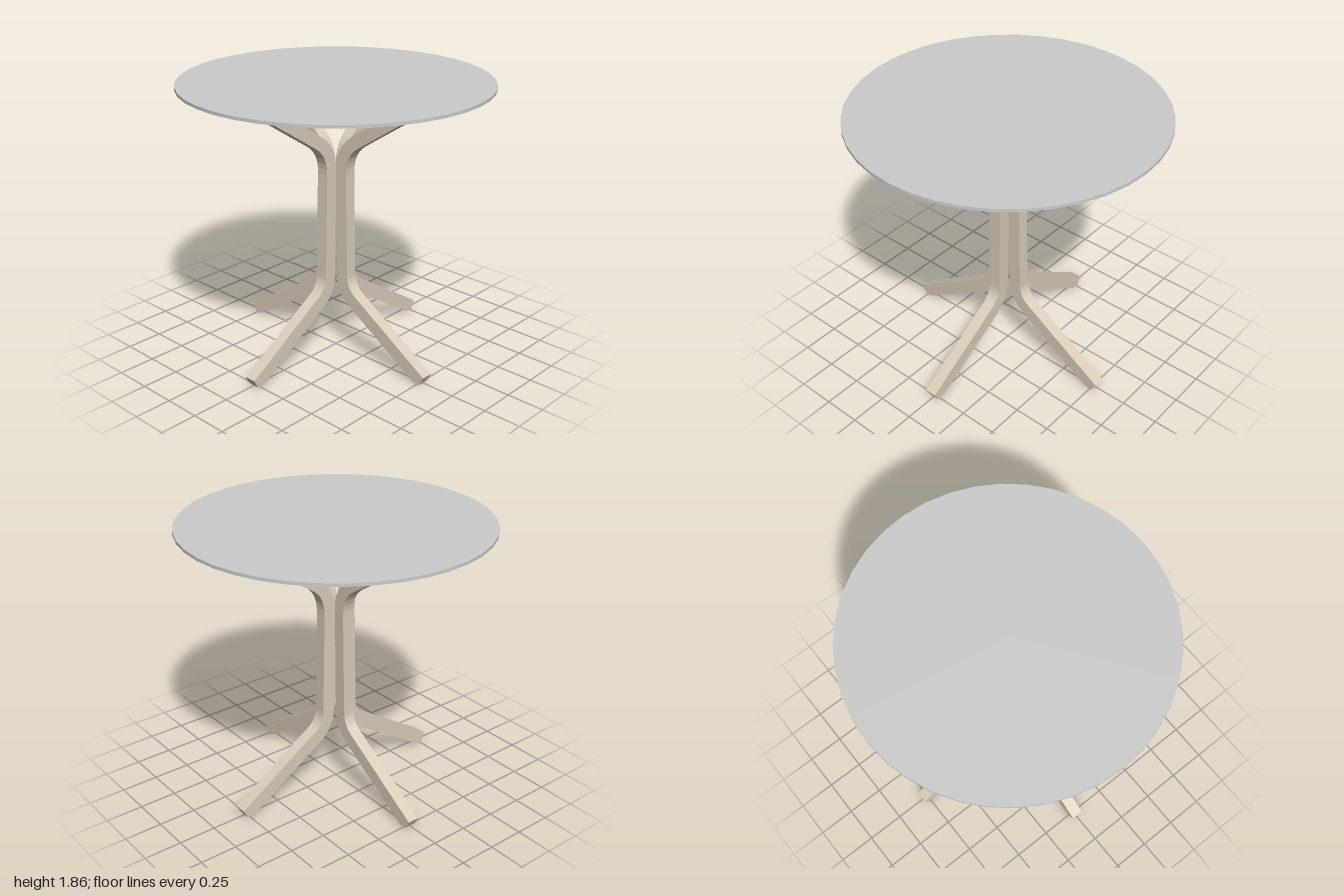
import * as THREE from 'three';

const TOP_Y = 1.835; // underside of the table top
const LEG_WIDTH = 0.08;

// Side outline of one bent leg, spreading towards +x at floor and top
function legShape() {
  const s = new THREE.Shape();
  s.moveTo(0.717, 0);
  s.lineTo(0.765, 0);
  s.lineTo(0.797, 0.06);
  s.lineTo(0.214, 0.433);
  s.quadraticCurveTo(0.138, 0.48, 0.138, 0.57);
  s.lineTo(0.123, 1.26);
  s.quadraticCurveTo(0.12, 1.393, 0.214, 1.457);
  s.lineTo(0.797, TOP_Y);
  s.lineTo(0.64, TOP_Y);
  s.lineTo(0.171, 1.529);
  s.quadraticCurveTo(0.04, 1.443, 0.04, 1.286);
  s.lineTo(0.05, 0.56);
  s.quadraticCurveTo(0.05, 0.42, 0.17, 0.345);
  s.closePath();
  return s;
}

export function createModel() {
  const model = new THREE.Group();
  model.name = 'roundTable';
  const wood = new THREE.MeshStandardMaterial({ color: 0xd9ccb8 });
  const grey = new THREE.MeshStandardMaterial({ color: 0xcccccc });

  // Thin round top
  const top = new THREE.Mesh(new THREE.CylinderGeometry(1, 1, 0.02, 40), grey);
  top.name = 'tableTop';
  top.position.y = TOP_Y + 0.01;
  model.add(top);

  // Four identical legs meeting back to back in the middle
  const legGeometry = new THREE.ExtrudeGeometry(legShape(), {
    depth: LEG_WIDTH, bevelEnabled: false, curveSegments: 6,
  });
  legGeometry.translate(0, 0, -LEG_WIDTH / 2);
  ['leftLeg', 'backLeg', 'rightLeg', 'frontLeg'].forEach((name, i) => {
    const leg = new THREE.Mesh(legGeometry, wood);
    leg.name = name;
    leg.rotation.y = i * Math.PI / 2;
    model.add(leg);
  });

  return model;
}
